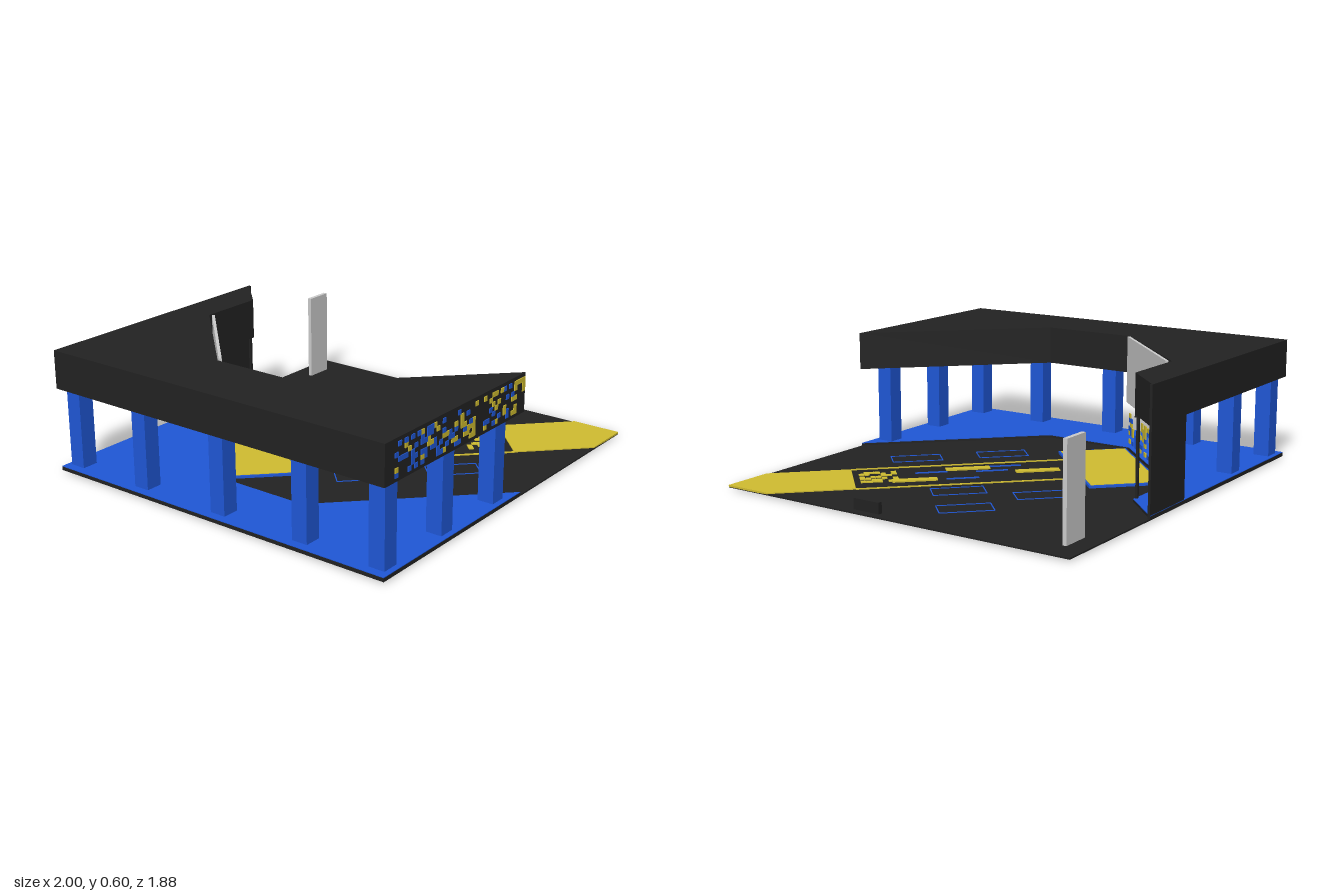
import * as THREE from 'three';

const DIAG = Math.PI / 4;
const mat = (color) => new THREE.MeshStandardMaterial({ color });

export function createModel() {
  const root = new THREE.Group();
  const dark = mat(0x222222), blue = mat(0x1f57d6), yellow = mat(0xd0bc30), grey = mat(0xcccccc);

  function add(geometry, material, name, parent = root) {
    const mesh = new THREE.Mesh(geometry, material);
    mesh.name = name;
    parent.add(mesh);
    return mesh;
  }
  // box by size and centre, turned about y
  function box(name, material, [w, h, d], [x, y, z], turn = 0, parent = root) {
    const mesh = add(new THREE.BoxGeometry(w, h, d), material, name, parent);
    mesh.position.set(x, y, z);
    mesh.rotation.y = turn;
    return mesh;
  }
  // horizontal slab from [x, z] outline
  function slab(name, material, outline, y0, y1) {
    const shape = new THREE.Shape(outline.map(([x, z]) => new THREE.Vector2(x, -z)));
    const geo = new THREE.ExtrudeGeometry(shape, { depth: y1 - y0, bevelEnabled: false });
    geo.rotateX(-Math.PI / 2).translate(0, y0, 0);
    return add(geo, material, name);
  }
  // flat strip on the ground between two [x, z] points
  function strip(name, material, [x0, z0], [x1, z1], width, parent = root) {
    const dx = x1 - x0, dz = z1 - z0;
    return box(name, material, [Math.hypot(dx, dz), 0.006, width],
      [(x0 + x1) / 2, 0.017, (z0 + z1) / 2], -Math.atan2(dz, dx), parent);
  }
  let seed = 7;
  const rand = () => (seed = (seed * 16807) % 2147483647) / 2147483647;

  // scattered square tiles on an upright panel centred on its group
  function mosaic(name, cols, rows, w, h, fill, yellowShare) {
    const group = new THREE.Group();
    group.name = name;
    root.add(group);
    const cw = w / cols, ch = h / rows;
    for (let i = 0; i < cols; i++) for (let j = 0; j < rows; j++) {
      if (rand() > fill) continue;
      const m = rand() < yellowShare(i / cols) ? yellow : blue;
      box('tile', m, [cw, ch, 0.006], [(i + 0.5) * cw - w / 2, (j + 0.5) * ch - h / 2, 0], 0, group);
    }
    return group;
  }

  // ground
  box('ground', dark, [2, 0.007, 1.874], [0, 0.0115, 0]);

  // pavilion floor and roof share one outline
  const plan = [[-1, -0.937], [0.36, -0.937], [0.17, -0.745], [-0.16, -0.745],
    [-0.65, -0.245], [-0.65, 0.235], [0.05, 0.937], [-1, 0.937]];
  slab('floorBase', dark, plan, 0.01, 0.026);
  slab('floor', blue, plan, 0.026, 0.029);
  slab('roof', dark, plan, 0.417, 0.603);

  // columns
  const columns = [0.87, 0.47, 0.01, -0.455, -0.875].map((z) => [-0.917, z]);
  columns.push([-0.508, 0.87], [-0.1, 0.87], [-0.508, -0.875]);
  for (const [x, z] of columns) box('column', blue, [0.082, 0.39, 0.08], [x, 0.223, z]);

  // rear wall and doorway frame
  box('rearWall', dark, [0.31, 0.59, 0.012], [0.205, 0.308, -0.931]);
  for (const x of [-0.155, 0.15]) box('doorPost', dark, [0.012, 0.4, 0.012], [x, 0.215, -0.752]);
  box('doorLintel', dark, [0.33, 0.016, 0.02], [0.005, 0.41, -0.755]);
  box('doorSill', dark, [0.33, 0.028, 0.085], [0.005, 0.014, -0.787]);

  // mosaic on the roof front, and the low diagonal mosaic screen
  mosaic('roofMosaic', 44, 7, 0.98, 0.152, 0.42, (t) => 0.25 + 0.5 * t).position.set(-0.445, 0.51, 0.938);
  const low = mosaic('lowMosaic', 23, 7, 0.66, 0.155, 0.45, () => 0.55);
  low.position.set(-0.4, 0.135, -0.49);
  low.rotation.y = DIAG;

  // hanging display board
  box('displayBoard', grey, [0.675, 0.335, 0.014], [-0.39, 0.437, -0.487], DIAG);

  // stage with blue rim
  box('stageRim', blue, [0.67, 0.014, 0.35], [-0.268, 0.02, -0.354], DIAG);
  box('stage', yellow, [0.65, 0.016, 0.33], [-0.268, 0.021, -0.354], DIAG);

  // yellow entrance path and its border lines
  slab('entrancePath', yellow,
    [[0.463, 0.655], [0.714, 0.408], [1, 0.69], [1, 0.937], [0.75, 0.937]], 0.011, 0.02);
  strip('pathLine', yellow, [-0.29, -0.095], [0.463, 0.655], 0.01);
  strip('pathLine', yellow, [-0.035, -0.345], [0.714, 0.408], 0.01);

  // yellow benches and blue stripes along the path
  for (const [x, z] of [[-0.037, -0.095], [0.126, 0.203], [0.437, 0.283]])
    box('pathBar', yellow, [0.215, 0.008, 0.043], [x, 0.018, z], -DIAG);
  for (const [x, z] of [[-0.075, 0.03], [0.035, 0.03], [0.226, 0.063], [0.227, 0.25]])
    strip('pathStripe', blue, [x, z], [x + 0.11, z + 0.11], 0.01);

  // outlined bays
  for (const [x, z] of [[0.307, -0.348], [0.676, -0.187], [0.468, 0.005], [-0.21, 0.235], [0.104, 0.535]]) {
    const bay = new THREE.Group();
    bay.name = 'bay';
    bay.position.set(x, 0.016, z);
    bay.rotation.y = -DIAG;
    root.add(bay);
    for (const s of [-1, 1]) {
      box('bayLongEdge', blue, [0.25, 0.004, 0.005], [0, 0, s * 0.058], 0, bay);
      box('bayShortEdge', blue, [0.005, 0.004, 0.12], [s * 0.123, 0, 0], 0, bay);
    }
  }

  // scattered paving tiles in front of the path
  const paving = new THREE.Group();
  paving.name = 'pavingTiles';
  paving.position.set(0.49, 0.017, 0.46);
  paving.rotation.y = -DIAG;
  root.add(paving);
  for (let i = -3; i <= 3; i++) for (let j = -3; j <= 3; j++)
    if (rand() < 0.48) box('pavingTile', yellow, [0.025, 0.006, 0.025], [i * 0.026, 0, j * 0.026], 0, paving);

  // upright sign panel and small kerb block
  box('signPanel', grey, [0.14, 0.447, 0.02], [0.81, 0.237, -0.835]);
  box('kerbBlock', dark, [0.022, 0.055, 0.142], [0.953, 0.04, 0.136]);

  return root;
}
